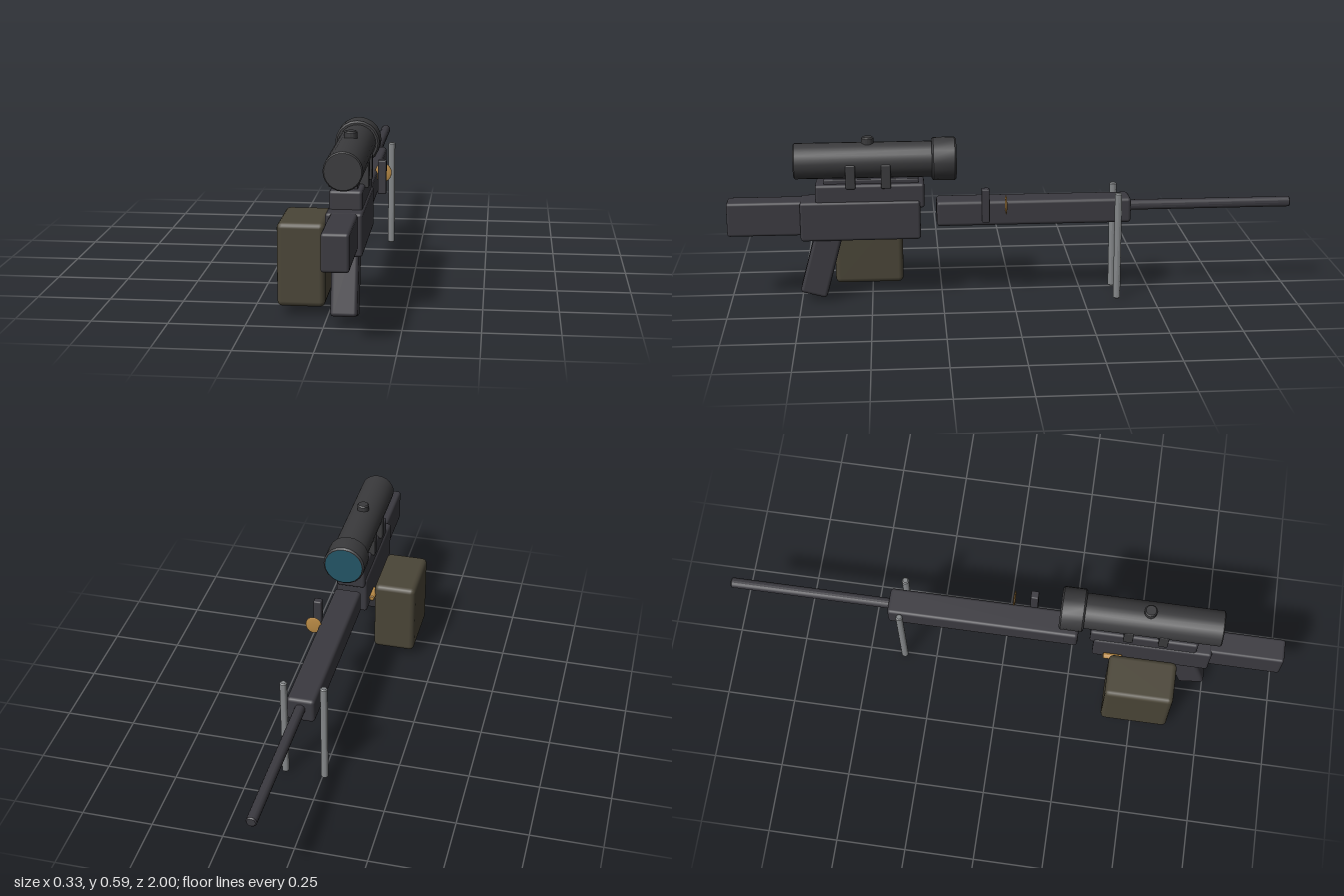
import * as THREE from 'three';
import { toCreasedNormals } from 'three/addons/utils/BufferGeometryUtils.js';
import { RoundedBoxGeometry } from 'three/addons/geometries/RoundedBoxGeometry.js';

function material(name, color) {
  const m = new THREE.MeshStandardMaterial({ color });
  m.name = name;
  return m;
}

export function createModel() {
  const group = new THREE.Group();
  const gunmetal = material('gunmetal', 0x3b3a40);
  const scopeBlack = material('scopeBlack', 0x3a3a3c);
  const olive = material('olive', 0x4a4537);
  const steel = material('steel', 0x85888a);
  const brass = material('brass', 0xb98a45);
  const glass = material('glass', 0x235566);

  function add(name, geometry, mat, x, y, z) {
    const mesh = new THREE.Mesh(geometry, mat);
    mesh.name = name;
    mesh.position.set(x, y, z);
    group.add(mesh);
    return mesh;
  }

  // Bevelled box given by its extents on each axis
  function block(name, mat, [x0, x1], [y0, y1], [z0, z1], bevel = 0.01) {
    const geometry = new RoundedBoxGeometry(x1 - x0, y1 - y0, z1 - z0, 2, bevel);
    return add(name, geometry, mat, (x0 + x1) / 2, (y0 + y1) / 2, (z0 + z1) / 2);
  }

  // Cylinder with chamfered rims, upright or lying along z
  function rod(name, mat, radius, length, [x, y, z], alongZ, sides = 20, bevel = 0.004) {
    const h = length / 2;
    const profile = [
      [0, -h], [radius - bevel, -h], [radius, -h + bevel],
      [radius, h - bevel], [radius - bevel, h], [0, h],
    ].map(([px, py]) => new THREE.Vector2(px, py));
    const geometry = toCreasedNormals(new THREE.LatheGeometry(profile, sides), 0.5);
    if (alongZ) geometry.rotateX(Math.PI / 2);
    return add(name, geometry, mat, x, y, z);
  }

  // Body
  block('stock', gunmetal, [0.021, 0.108], [0.25, 0.372], [0.73, 1]);
  block('receiver', gunmetal, [0.006, 0.124], [0.232, 0.373], [0.325, 0.745]);
  block('receiverTop', gunmetal, [0.012, 0.118], [0.345, 0.433], [0.31, 0.69]);
  block('sightRail', gunmetal, [0.029, 0.101], [0.42, 0.448], [0.33, 0.66], 0.004);
  block('handguard', gunmetal, [0.014, 0.112], [0.273, 0.363], [-0.42, 0.268], 0.012);
  rod('barrel', gunmetal, 0.0185, 0.6, [0.064, 0.326, -0.7], true, 16);

  // Raked grip
  const grip = add('grip', new RoundedBoxGeometry(0.087, 0.27, 0.096, 2, 0.012), gunmetal, 0.065, 0.158, 0.672);
  grip.rotation.x = -0.267;

  // Scope with flared end, lens, mounts and turret
  rod('scopeTube', scopeBlack, 0.063, 0.51, [0.064, 0.509, 0.508], true, 24);
  rod('scopeBell', scopeBlack, 0.076, 0.086, [0.064, 0.509, 0.24], true, 20, 0.006);
  const lens = add('scopeLens', new THREE.CircleGeometry(0.069, 20), glass, 0.064, 0.509, 0.195);
  lens.rotation.y = Math.PI;
  rod('scopeTurret', scopeBlack, 0.022, 0.05, [0.064, 0.567, 0.505], false, 16);
  for (const z of [0.443, 0.566]) {
    block('scopeMount', scopeBlack, [-0.001, 0.13], [0.42, 0.506], [z - 0.017, z + 0.017], 0.005);
  }

  // Side lever and brass disc
  block('lever', gunmetal, [0.12, 0.15], [0.295, 0.416], [0.084, 0.112], 0.005);
  const disc = add('brassDisc', new THREE.SphereGeometry(1, 14, 10), brass, 0.133, 0.355, 0.026);
  disc.scale.set(0.03, 0.034, 0.004);

  // Ammunition box and feed
  block('ammoBox', olive, [-0.165, -0.008], [0.03, 0.31], [0.388, 0.632], 0.018);
  rod('feedRound', brass, 0.0105, 0.07, [-0.004, 0.267, 0.4], true, 12, 0.003);

  // Bipod legs
  for (const x of [-0.007, 0.135]) {
    rod('bipodLeg', steel, 0.0128, 0.39, [x, 0.195, -0.37], false, 14);
  }

  return group;
}
